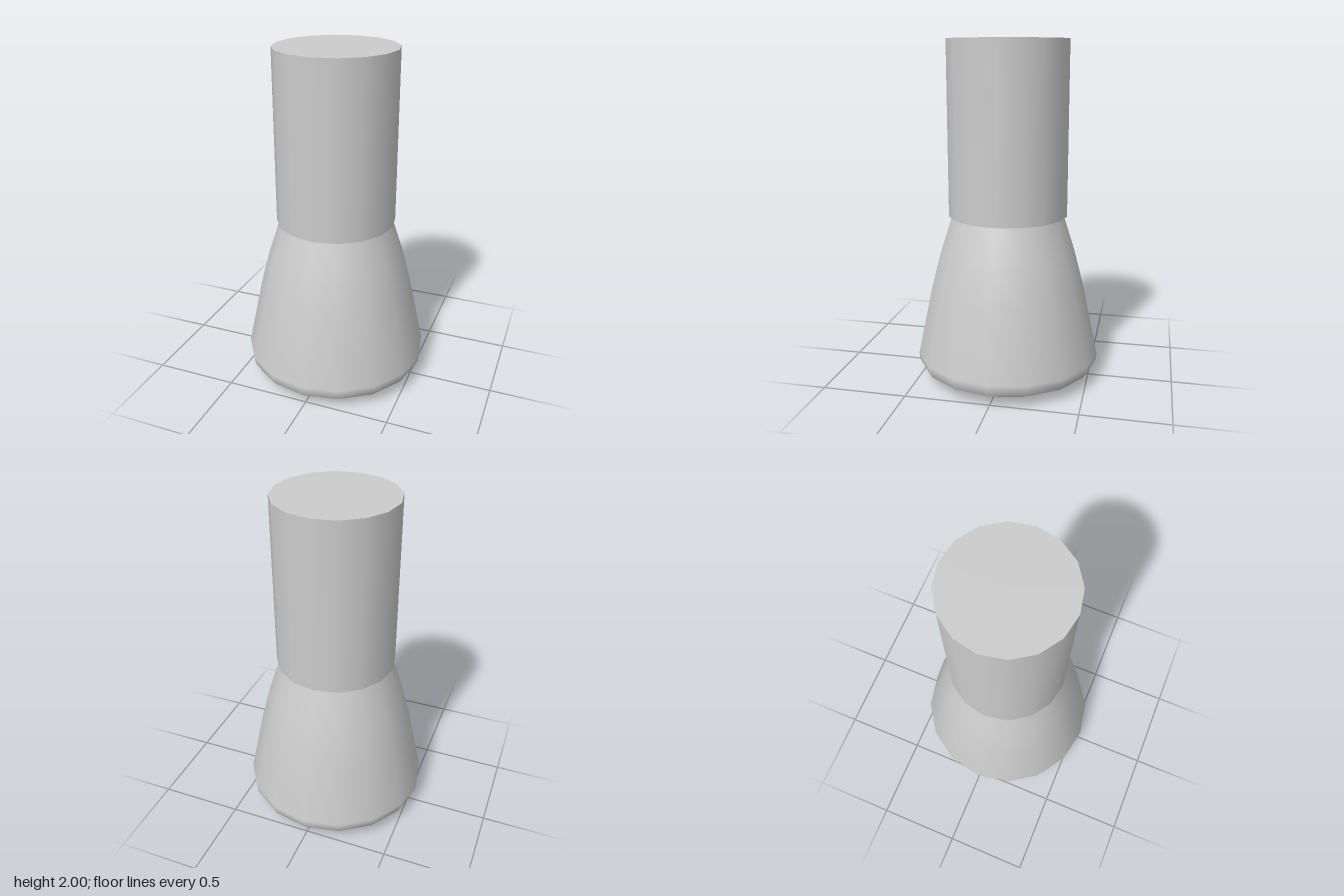
import * as THREE from 'three';

const SIDES = 16;

export function createModel() {
  const group = new THREE.Group();
  const solid = new THREE.MeshStandardMaterial({ color: 0xcccccc });
  const shell = new THREE.MeshStandardMaterial({ color: 0xcccccc, side: THREE.DoubleSide });

  const add = (name, geometry, material) => {
    const mesh = new THREE.Mesh(geometry, material);
    mesh.name = name;
    group.add(mesh);
    return mesh;
  };
  const lathe = (profile) =>
    new THREE.LatheGeometry(profile.map(([r, y]) => new THREE.Vector2(r, y)), SIDES);

  // Bevel around the open mouth at the bottom
  add('bottomBevel', lathe([[0.4, 0], [0.53, 0.07]]), shell);

  // Hollow flared body, narrowing towards the neck
  add('flaredBody', lathe([
    [0.53, 0.07], [0.545, 0.1], [0.55, 0.14], [0.46, 0.56], [0.405, 0.77], [0.335, 0.985],
  ]), shell);

  // Closed upper cylinder, slightly wider than the neck it sits on
  const stem = add('upperCylinder', new THREE.CylinderGeometry(0.353, 0.353, 1.015, SIDES), solid);
  stem.position.y = 0.985 + 1.015 / 2;

  return group;
}
